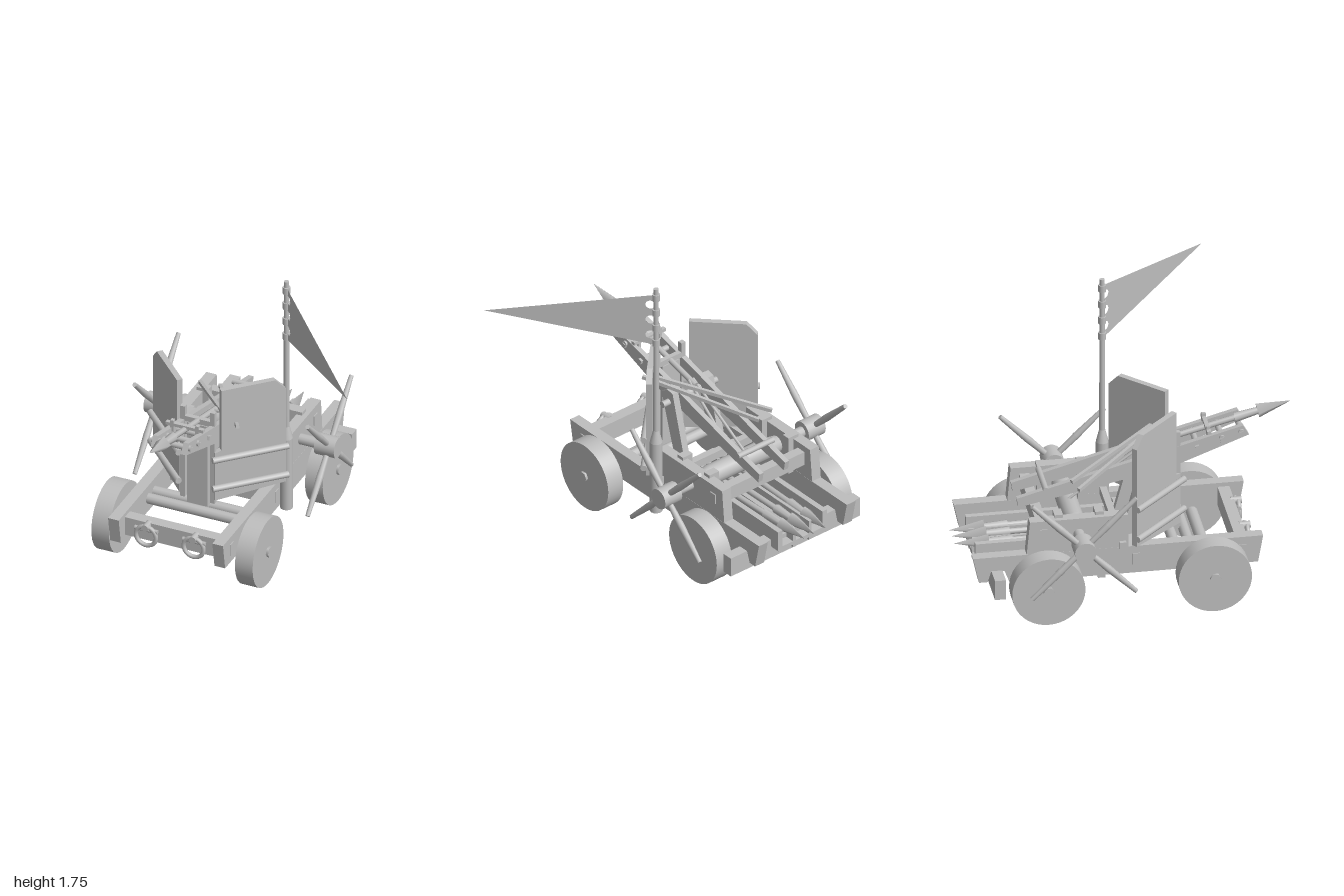
import * as THREE from 'three';

const wood = new THREE.MeshStandardMaterial({ color: 0xbebebe });
wood.name = 'plainGrey';
const cloth = wood.clone();
cloth.name = 'plainGreyCloth';
cloth.side = THREE.DoubleSide;

export function createModel() {
  const model = new THREE.Group();
  model.name = 'siegeBallista';
  const cart = new THREE.Group();
  cart.name = 'cart';
  cart.position.x = -0.255; // the pennant hangs far to the left, so the cart sits off centre
  model.add(cart);

  const V = (x, y, z) => new THREE.Vector3(x, y, z);
  function add(name, geo, x = 0, y = 0, z = 0, parent = cart) {
    const m = new THREE.Mesh(geo, wood);
    m.name = name;
    m.position.set(x, y, z);
    parent.add(m);
    return m;
  }
  const box = (name, w, h, d, x, y, z, parent) => add(name, new THREE.BoxGeometry(w, h, d), x, y, z, parent);

  // round bar between two points
  function bar(name, a, b, r0, r1 = r0, sides = 10, parent = cart) {
    const d = b.clone().sub(a), mid = a.clone().add(b).multiplyScalar(0.5);
    const m = add(name, new THREE.CylinderGeometry(r1, r0, d.length(), sides), mid.x, mid.y, mid.z, parent);
    m.quaternion.setFromUnitVectors(V(0, 1, 0), d.normalize());
    return m;
  }
  // bar across the cart, from -w to w
  const crossBar = (name, w, y, z, r, sides) => bar(name, V(-w, y, z), V(w, y, z), r, r, sides);
  // square beam between two points
  function beam(name, a, b, w, h) {
    const mid = a.clone().add(b).multiplyScalar(0.5);
    const m = box(name, w, h, a.distanceTo(b), mid.x, mid.y, mid.z);
    m.lookAt(b);
    return m;
  }
  // plate drawn as [z, y] points, centred at x with thickness t
  function sidePlate(name, pts, x, t) {
    const s = new THREE.Shape(pts.map(([z, y]) => new THREE.Vector2(-z, y)));
    const g = new THREE.ExtrudeGeometry(s, { depth: t, bevelEnabled: false });
    g.translate(0, 0, -t / 2);
    g.rotateY(Math.PI / 2);
    return add(name, g, x);
  }

  // ---- chassis ----
  for (const s of [-1, 1]) {
    sidePlate('chassisRail', [[0.775, 0.395], [0.745, 0.225], [0.2, 0.22], [-0.72, 0.22], [-0.75, 0.3],
      [-0.83, 0.3], [-0.85, 0.235], [-0.9, 0.235], [-0.935, 0.395]], s * 0.333, 0.068);
    sidePlate('winchCheek', [[-0.02, 0.39], [-0.62, 0.39], [-0.6, 0.605], [-0.02, 0.605]], s * 0.333, 0.066);
    for (const z of [-0.425, -0.185]) box('cheekBlock', 0.075, 0.25, 0.05, s * 0.3, 0.5, z);
  }
  const crossBeams = [ // half width, height, depth, y, z
    [0.372, 0.075, 0.045, 0.31, 0.655], [0.372, 0.075, 0.045, 0.31, 0.025],
    [0.372, 0.065, 0.045, 0.52, -0.52], [0.36, 0.045, 0.045, 0.222, -0.175],
    [0.49, 0.125, 0.065, 0.243, -0.795], [0.39, 0.05, 0.04, 0.41, -0.055],
  ];
  for (const [w, h, d, y, z] of crossBeams) box('crossBeam', w * 2, h, d, 0, y, z);
  box('frontBeam', 0.6, 0.12, 0.07, 0, 0.31, 0.655);
  box('middleBeam', 0.6, 0.1, 0.06, 0, 0.31, 0.025);
  box('rearUpperBeam', 0.6, 0.09, 0.06, 0, 0.52, -0.52);
  for (const z of [0.275, 0.36]) crossBar('roller', 0.31, 0.31, z, 0.032, 12);

  // ---- wheels and axles ----
  for (const z of [0.468, -0.514]) {
    crossBar('axle', 0.41, 0.22, z, 0.035, 12);
    crossBar('axleEnd', 0.53, 0.22, z, 0.033, 6);
    for (const s of [-1, 1]) bar('wheel', V(s * 0.402, 0.217, z), V(s * 0.515, 0.217, z), 0.216, 0.216, 40);
  }

  // ---- tow rings ----
  for (const s of [-1, 1]) {
    add('towRing', new THREE.TorusGeometry(0.064, 0.013, 8, 24), s * 0.152, 0.295, 0.715);
    bar('ringPeg', V(s * 0.152, 0.355, 0.67), V(s * 0.152, 0.355, 0.735), 0.022);
    bar('ringPin', V(s * 0.08, 0.335, 0.71), V(s * 0.225, 0.335, 0.71), 0.013, 0.013, 8);
  }

  // ---- spears, pointing along +z from the tip backwards ----
  function spear(name, length) {
    const g = new THREE.Group();
    g.name = name;
    bar('shaft', V(0, 0, -length), V(0, 0, -0.2), 0.018, 0.018, 8, g);
    bar('socket', V(0, 0, -0.34), V(0, 0, -0.17), 0.03, 0.02, 8, g);
    bar('spearHead', V(0, 0, -0.2), V(0, 0, 0), 0.048, 0.001, 4, g);
    cart.add(g);
    return g;
  }

  // ---- ammunition tray ----
  box('trayFloor', 0.36, 0.025, 0.9, 0, 0.265, -0.44);
  for (const x of [-0.168, -0.06, 0.06, 0.168]) {
    const outer = Math.abs(x) > 0.1;
    box('traySlat', outer ? 0.035 : 0.02, 0.13, 0.89, x, outer ? 0.325 : 0.3, -0.445);
  }
  [[-0.09, -0.02], [0, 0.01], [0.075, 0.03]].forEach(([x, turn]) => {
    const s = spear('storedSpear', 0.95);
    s.position.set(x, 0.355, -0.998);
    s.rotation.y = Math.PI + turn;
  });

  // ---- winch with four-armed capstans ----
  const wy = 0.506, wz = -0.312;
  crossBar('winchAxle', 0.5, wy, wz, 0.033, 12);
  crossBar('winchDrum', 0.22, wy, wz, 0.062, 16);
  for (const s of [-1, 1]) {
    bar('drumEnd', V(s * 0.22, wy, wz), V(s * 0.29, wy, wz), 0.062, 0.05, 16);
    bar('winchHub', V(s * 0.48, wy, wz), V(s * 0.608, wy, wz), 0.064, 0.064, 20);
    for (let i = 0; i < 4; i++) {
      const a = Math.PI / 4 + i * Math.PI / 2, at = r => V(s * 0.552, wy + r * Math.sin(a), wz + r * Math.cos(a));
      bar('winchHandle', at(0.04), at(0.2), 0.017, 0.022, 8);
      bar('winchHandleTip', at(0.2), at(0.435), 0.022, 0.014, 8);
    }
  }

  // ---- firing stock, sloping up to the front ----
  const top = z => 0.8 + 0.267 * z; // height of the stock's upper edge
  for (const s of [-1, 1]) {
    sidePlate('stockSide', [[0.7, 0.992], [-0.635, 0.63], [-0.625, 0.572], [-0.05, 0.69], [0.3, 0.765],
      [0.735, 0.93]], s * 0.097, 0.032);
    for (const z of [0.69, 0.575, 0.43]) {
      const pin = box('pinHead', 0.02, 0.025, 0.025, s * 0.12, top(z) - 0.038, z);
      pin.rotation.x = -0.26;
    }
    box('guidePost', 0.03, 0.62, 0.03, s * 0.095, 0.67, 0.315);
    box('guideCheek', 0.02, 0.075, 0.025, s * 0.08, top(0.5) + 0.02, 0.5);
    sidePlate('pivotBrace', [[-0.04, 0.3], [0.05, 0.3], [0.2, 0.8], [0.15, 0.84], [0.1, 0.83]], s * 0.134, 0.042);
    // draw arms reaching from the winch to the spear's butt
    beam('drawArm', V(s * 0.072, 0.72, -0.37), V(s * 0.012, 0.91, 0.33), 0.02, 0.022);
    bar('drawRope', V(s * 0.04, 0.56, -0.32), V(s * 0.015, 0.86, 0.12), 0.009, 0.009, 6);
  }
  for (const z of [0.69, 0.575, 0.43]) crossBar('stockPin', z > 0.5 ? 0.125 : 0.1, top(z) - 0.03, z, 0.018, 10);
  crossBar('rearPin', 0.135, top(-0.465) + 0.005, -0.465, 0.018, 10);
  crossBar('pivotPin', 0.205, 0.76, 0.135, 0.02, 12);
  box('guideTop', 0.24, 0.02, 0.025, 0, top(0.5) + 0.03, 0.5);
  box('guideBar', 0.19, 0.035, 0.03, 0, 0.9, 0.315);
  box('frontPost', 0.13, 0.56, 0.035, 0, 0.6, 0.315);

  const loaded = spear('loadedSpear', 0.95);
  loaded.position.set(0, 1.07, 0.998);
  loaded.rotation.x = -0.245;

  // ---- slanted shields ----
  const shieldShape = new THREE.Shape([[0, 0.42], [0.44, 0.385], [0.44, 0.71], [0.4, 0.72], [0.4, 1.13],
    [0.065, 1.13], [0, 1.06]].map(p => new THREE.Vector2(...p)));
  for (const s of [-1, 1]) {
    const g = new THREE.Group();
    g.name = s > 0 ? 'leftShield' : 'rightShield';
    g.position.set(s * 0.425, 0, 0.02);
    g.rotation.y = s > 0 ? -Math.PI * 3 / 4 : -Math.PI / 4;
    const plate = new THREE.ExtrudeGeometry(shieldShape, { depth: 0.035, bevelEnabled: false });
    add('shieldBoard', plate, 0, 0, s > 0 ? 0 : -0.035, g);
    for (const y of [0.67, 0.475]) bar('shieldRail', V(-0.01, y, -s * 0.012), V(0.46, y, -s * 0.012), 0.02, 0.02, 10, g);
    cart.add(g);
  }

  // ---- flagpole and pennant ----
  const px = 0.4, pz = -0.043;
  bar('poleBase', V(px, 0.2, pz), V(px, 0.68, pz), 0.038, 0.038, 12);
  bar('poleCollar', V(px, 0.68, pz), V(px, 0.76, pz), 0.038, 0.018, 12);
  bar('flagPole', V(px, 0.75, pz), V(px, 1.755, pz), 0.018, 0.015, 12);
  for (const y of [1.695, 1.59, 1.485, 1.38]) bar('flagTie', V(px, y - 0.022, pz), V(px, y + 0.022, pz), 0.023, 0.023, 10);
  const flag = new THREE.Shape([[0, 1.36], [1.005, 1.543], [0, 1.712]].map(p => new THREE.Vector2(...p)));
  for (const y of [1.642, 1.537, 1.432]) {
    const hole = new THREE.Path();
    hole.moveTo(0.012, y - 0.027);
    hole.lineTo(0.035, y - 0.027);
    hole.absarc(0.035, y, 0.027, -Math.PI / 2, Math.PI / 2, false);
    hole.lineTo(0.012, y + 0.027);
    hole.closePath();
    flag.holes.push(hole);
  }
  const pennant = add('pennant', new THREE.ShapeGeometry(flag), px, 0, pz);
  pennant.material = cloth;
  pennant.rotation.y = -Math.PI / 4;

  return model;
}
